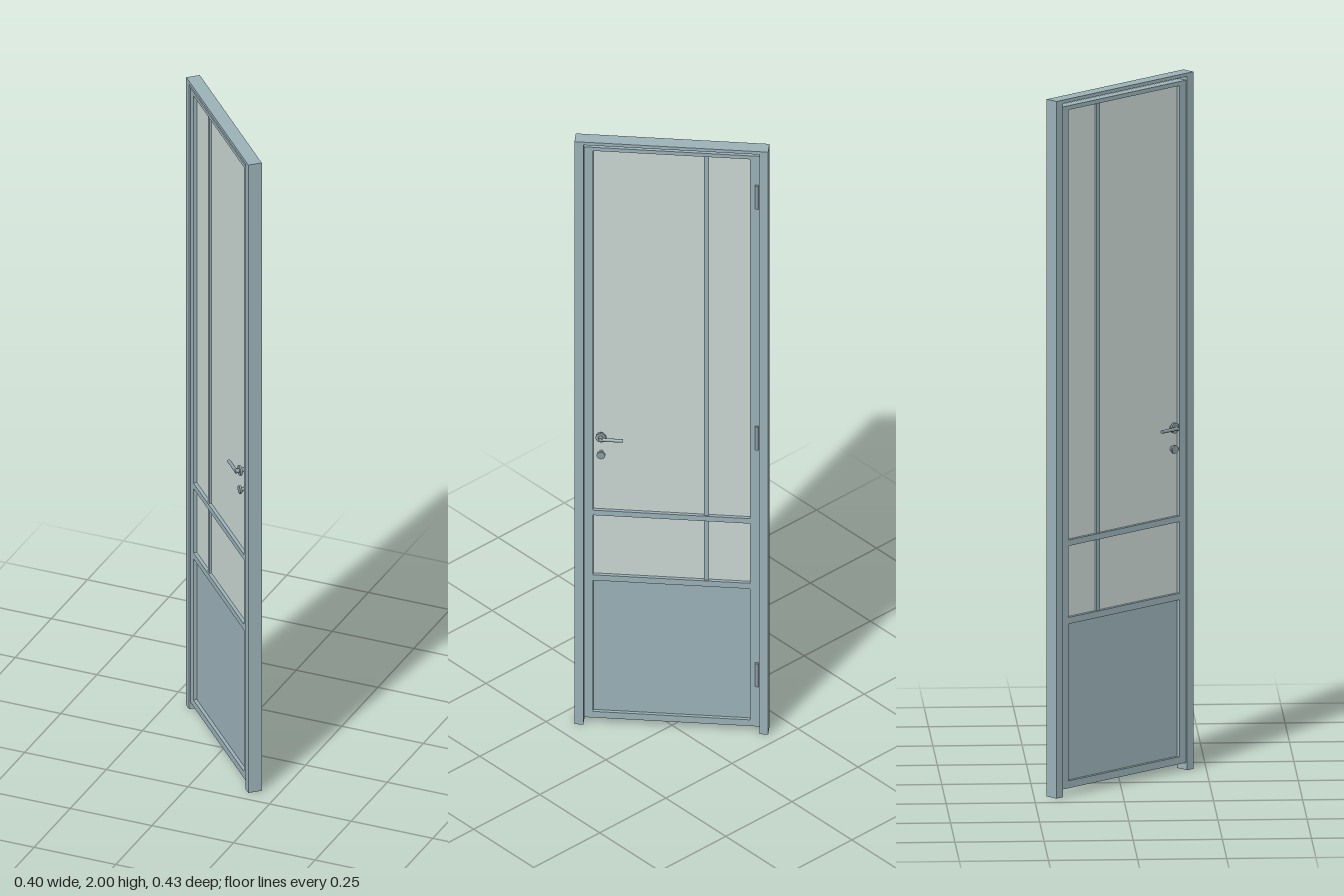
import * as THREE from 'three';

const paint = new THREE.MeshStandardMaterial({ color: 0x9bb1b7 });
const glassMat = new THREE.MeshStandardMaterial({ color: 0xc9d6d1 });
const metal = new THREE.MeshStandardMaterial({ color: 0x8c9da1 });

const HALF = 0.2725;      // half the frame width
const JAMB = 0.025;       // jamb width
const DEPTH = 0.04;       // frame depth
const LEAF = 0.247;       // half the leaf width
const OPEN = 0.221;       // half the width between the stiles
const LEAF_BACK = -0.013, LEAF_FRONT = 0.016;

// Box given by its extents on each axis
function box(parent, name, mat, [x0, x1], [y0, y1], [z0, z1]) {
  const mesh = new THREE.Mesh(new THREE.BoxGeometry(x1 - x0, y1 - y0, z1 - z0), mat);
  mesh.position.set((x0 + x1) / 2, (y0 + y1) / 2, (z0 + z1) / 2);
  mesh.name = name;
  parent.add(mesh);
  return mesh;
}

// Cylinder centred on a point, lying along the chosen axis
function rod(parent, name, radius, length, axis, x, y, z, sides = 24) {
  const geo = new THREE.CylinderGeometry(radius, radius, length, sides);
  if (axis === 'x') geo.rotateZ(Math.PI / 2);
  if (axis === 'z') geo.rotateX(Math.PI / 2);
  const mesh = new THREE.Mesh(geo, metal);
  mesh.position.set(x, y, z);
  mesh.name = name;
  parent.add(mesh);
  return mesh;
}

function makeFrame() {
  const g = new THREE.Group();
  g.name = 'doorFrame';
  const d = [-DEPTH / 2, DEPTH / 2];
  box(g, 'rightJamb', paint, [-HALF, -HALF + JAMB], [0, 1.99], d);
  box(g, 'leftJamb', paint, [HALF - JAMB, HALF], [0, 1.99], d);
  box(g, 'head', paint, [-HALF, HALF], [1.99, 2], d);
  return g;
}

function makeLeaf() {
  const g = new THREE.Group();
  g.name = 'doorLeaf';
  const d = [LEAF_BACK, LEAF_FRONT];

  // Stiles and rails
  box(g, 'rightStile', paint, [-LEAF, -OPEN], [0.021, 1.979], d);
  box(g, 'leftStile', paint, [OPEN, LEAF], [0.021, 1.979], d);
  const rails = { bottomRail: [0.021, 0.042], panelRail: [0.492, 0.511], middleRail: [0.716, 0.733], topRail: [1.967, 1.979] };
  for (const [name, span] of Object.entries(rails)) box(g, name, paint, [-OPEN, OPEN], span, d);

  // Solid lower panel, two panes and the off-centre glazing bars
  const inset = [-0.003, 0.006];
  box(g, 'lowerPanel', paint, [-OPEN, OPEN], [0.042, 0.492], inset);
  for (const [name, span] of [['lower', [0.511, 0.716]], ['upper', [0.733, 1.967]]]) {
    box(g, name + 'Glass', glassMat, [-OPEN, OPEN], span, inset);
    box(g, name + 'GlazingBar', paint, [-0.105, -0.091], span, [-0.009, 0.012]);
  }
  return g;
}

// Lever handle and keyhole cover for one face; side is +1 front, -1 back
function makeHandle(side) {
  const g = new THREE.Group();
  g.name = side > 0 ? 'frontHandle' : 'backHandle';
  const x = 0.198, y = 0.989, keyY = 0.928;
  rod(g, 'rosette', 0.015, 0.006, 'z', x, y, side * 0.0195, 32);
  rod(g, 'keyholeCover', 0.012, 0.006, 'z', x, keyY, side * 0.0195, 32);
  rod(g, 'neck', 0.0065, 0.034, 'z', x, y, side * 0.017);
  rod(g, 'keyCylinder', 0.006, 0.02, 'z', x, keyY, side * 0.01);
  rod(g, 'lever', 0.005, 0.066, 'x', 0.168, y, side * 0.031);
  return g;
}

export function createModel() {
  const root = new THREE.Group();
  root.name = 'glazedDoor';
  const door = new THREE.Group();
  door.name = 'door';
  door.add(makeFrame(), makeLeaf(), makeHandle(1), makeHandle(-1));

  // Hinge barrels along the right stile, on the back
  for (const y of [0.2, 1.013, 1.84]) rod(door, 'hinge', 0.005, 0.08, 'y', -0.24, y, -0.0148, 16);

  // The door stands diagonally
  door.rotation.y = -Math.atan2(0.738, 0.675);
  root.add(door);
  return root;
}
